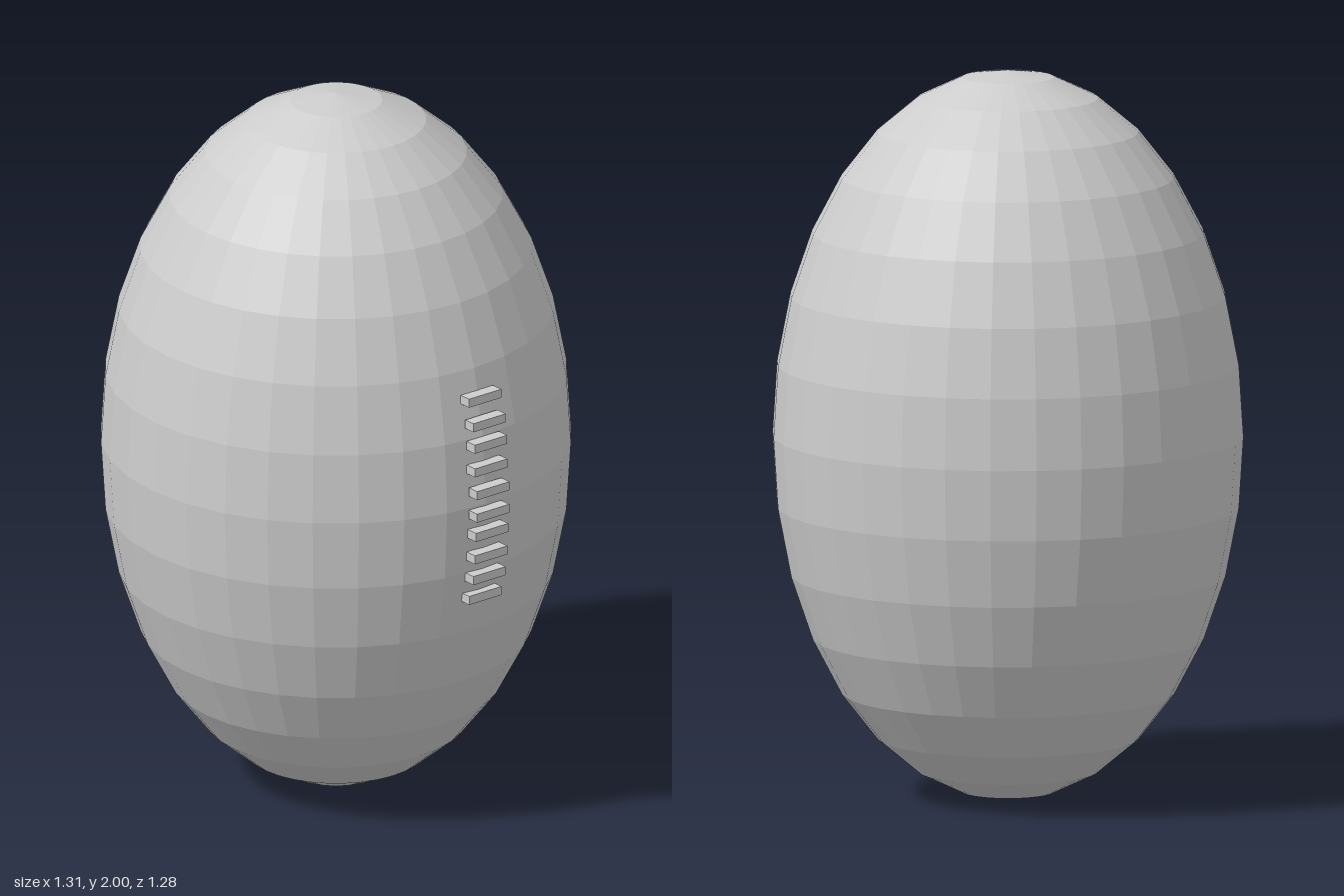
import * as THREE from 'three';

export function createModel() {
  const model = new THREE.Group();
  const grey = new THREE.MeshStandardMaterial({ color: 0xcccccc, flatShading: true });
  grey.name = 'light grey';

  // Faceted egg-shaped ball standing on its end
  const ball = new THREE.Mesh(new THREE.SphereGeometry(1, 32, 16).scale(0.64, 1, 0.64), grey);
  ball.name = 'ball';
  ball.position.set(-0.017, 1, 0);
  model.add(ball);

  // Row of short lace bars on the +x side: [height, outer face x]
  const laces = new THREE.Group();
  laces.name = 'laces';
  const bars = [
    [1.308, 0.621], [1.242, 0.64], [1.181, 0.646], [1.112, 0.647], [1.048, 0.656],
    [0.982, 0.656], [0.924, 0.651], [0.857, 0.647], [0.794, 0.64], [0.73, 0.622],
  ];
  const depth = 0.036;
  const barGeometry = new THREE.BoxGeometry(depth, 0.025, 0.113);
  bars.forEach(([y, outer], i) => {
    const bar = new THREE.Mesh(barGeometry, grey);
    bar.name = `lace${i + 1}`;
    bar.position.set(outer - depth / 2, y, 0);
    laces.add(bar);
  });
  model.add(laces);
  return model;
}
